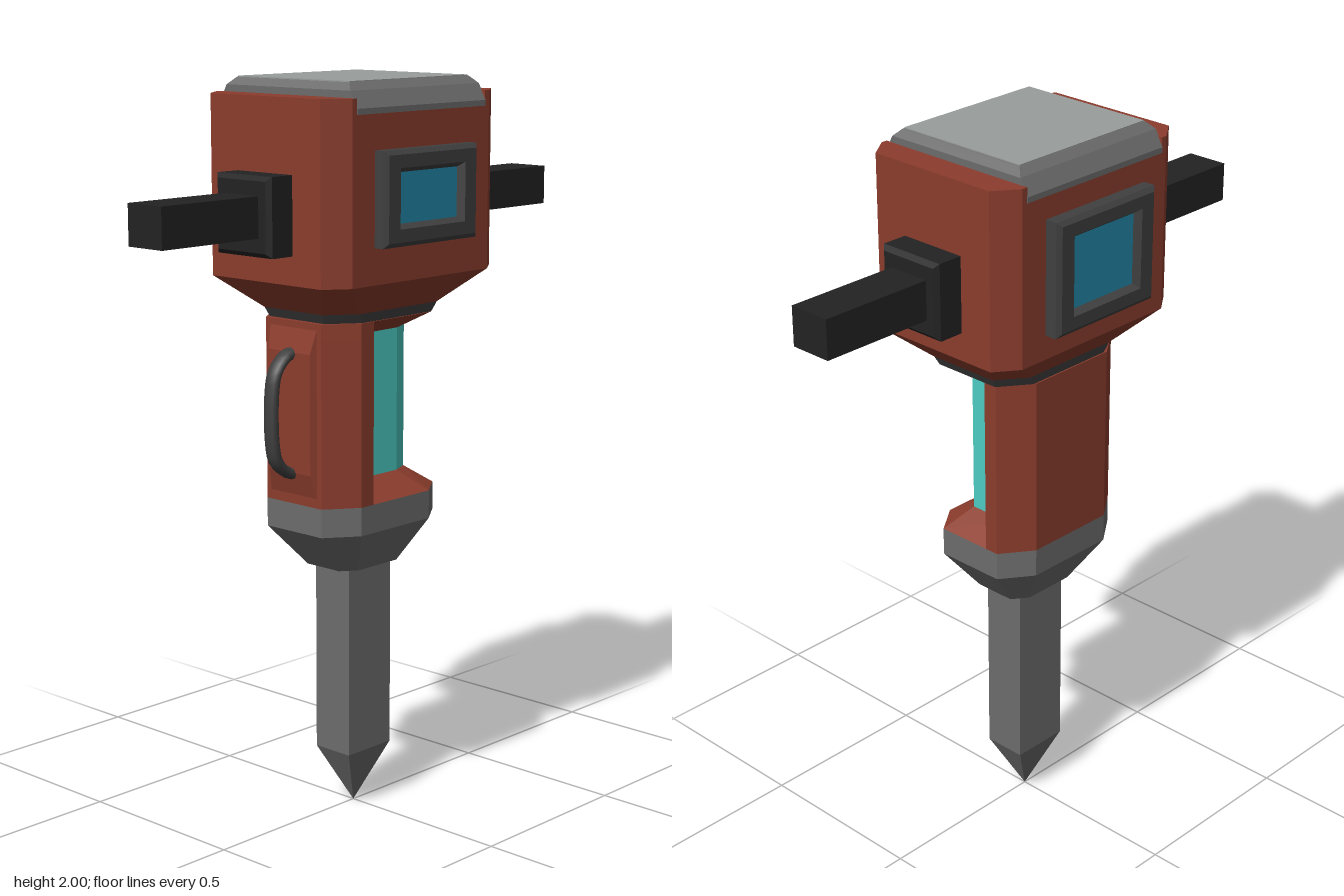
import * as THREE from 'three';

const mat = (name, color) => {
  const m = new THREE.MeshStandardMaterial({ color });
  m.name = name;
  return m;
};

// Chamfered rectangle outline, half sizes hx/hz, flats ending at cx/cz, shifted by ox
const oct = (hx, hz, cx, cz, ox = 0) => [
  [-cx, hz], [cx, hz], [hx, cz], [hx, -cz], [cx, -hz], [-cx, -hz], [-hx, -cz], [-hx, cz],
].map(([x, z]) => [x + ox, z]);
const rect = (hx, hz, ox = 0) => [[-hx, hz], [hx, hz], [hx, -hz], [-hx, -hz]].map(([x, z]) => [x + ox, z]);

// Flat-faced loft through outlines stacked in y; skip(row, side) leaves a face out
function loft(sections, { skip = () => false, closed = true } = {}) {
  const pos = [];
  const at = (s, i) => {
    const [y, pts] = sections[s];
    const p = pts[i % pts.length];
    return [p[0], y, p[1]];
  };
  const n = sections[0][1].length;
  for (let r = 0; r < sections.length - 1; r++) {
    for (let i = 0; i < (closed ? n : n - 1); i++) {
      if (skip(r, i)) continue;
      const a = at(r, i), b = at(r, i + 1), c = at(r + 1, i + 1), d = at(r + 1, i);
      pos.push(...a, ...b, ...c, ...a, ...c, ...d);
    }
  }
  if (closed) {
    const t = sections.length - 1;
    for (let i = 1; i < n - 1; i++) {
      pos.push(...at(t, 0), ...at(t, i), ...at(t, i + 1));
      pos.push(...at(0, 0), ...at(0, i + 1), ...at(0, i));
    }
  }
  const g = new THREE.BufferGeometry();
  g.setAttribute('position', new THREE.Float32BufferAttribute(pos, 3));
  g.computeVertexNormals();
  return g;
}

export function createModel() {
  const red = mat('red paint', 0x8c3d2d);
  const steel = mat('steel', 0x6d6d6d);
  const light = mat('light steel', 0x999d9c);
  const dark = mat('dark trim', 0x404040);
  const black = mat('black rubber', 0x232323);
  const blue = mat('screen blue', 0x2389a9);
  const cyan = mat('cyan window', 0x4ecdc4);
  cyan.side = THREE.DoubleSide;

  const model = new THREE.Group();
  model.name = 'jackhammer';
  const add = (name, geo, material, parent = model) => {
    const m = new THREE.Mesh(geo, material);
    m.name = name;
    parent.add(m);
    return m;
  };

  // Chisel bit with pointed tip
  add('chisel', loft([[0, rect(0, 0)], [0.165, rect(0.083, 0.061)], [0.72, rect(0.083, 0.061)]]), steel);

  // Lower collar
  const bodyOutline = oct(0.22, 0.162, 0.134, 0.1, -0.008);
  add('collar', loft([
    [0.695, oct(0.118, 0.09, 0.075, 0.058)],
    [0.815, bodyOutline],
    [0.892, bodyOutline],
  ]), steel);

  // Body with one corner cut away; points 1 to 4 slide inward to form the recess
  const notch = [[-0.095, 0.085], [0.08, 0.085], [0.135, 0.06], [0.135, -0.06]];
  const rim = [[-0.095, 0.162], [0.126, 0.162], [0.212, 0.1], [0.212, -0.06]];
  const outline = (corner) => [
    rim[0], ...corner, rim[3],
    [0.212, -0.1], [0.126, -0.162], [-0.142, -0.162], [-0.228, -0.1], [-0.228, 0.1], [-0.142, 0.162],
  ];
  add('body', loft(
    [[0.892, outline(rim)], [0.945, outline(notch)], [1.335, outline(notch)], [1.38, outline(rim)]],
    { skip: (r, i) => r === 1 && i >= 1 && i <= 3 },
  ), red);
  add('window', loft([[0.945, notch], [1.335, notch]], { closed: false }), cyan);

  // Carry handle and its raised mounting pad
  const pad = loft([[0, rect(0.23, 0.085)], [0.018, rect(0.16, 0.075)]]);
  pad.rotateZ(Math.PI / 2).translate(-0.226, 1.14, 0);
  add('handlePad', pad, red);
  const path = new THREE.CatmullRomCurve3([
    [-0.225, 1.3], [-0.262, 1.288], [-0.296, 1.252], [-0.308, 1.2],
    [-0.308, 1.07], [-0.296, 1.018], [-0.262, 0.985], [-0.225, 0.972],
  ].map(([x, y]) => new THREE.Vector3(x, y, 0)));
  const loop = new THREE.TubeGeometry(path, 24, 0.016, 8).scale(1, 1, 1.4);
  add('carryHandle', loop, dark);

  // Neck and motor head
  add('neck', loft([
    [1.38, oct(0.214, 0.158, 0.134, 0.1)],
    [1.405, oct(0.228, 0.162, 0.15, 0.105)],
  ]), dark);
  const headOutline = oct(0.327, 0.242, 0.262, 0.195);
  add('head', loft([
    [1.405, oct(0.228, 0.162, 0.15, 0.105)],
    [1.49, headOutline],
    [1.92, headOutline],
  ]), red);

  // Raised cheeks either side of the cap
  const cheek = [[0.245, 0.242], [0.262, 0.242], [0.327, 0.195], [0.327, -0.195], [0.262, -0.242], [0.245, -0.242]];
  const otherCheek = cheek.map(([x, z]) => [-x, -z]);
  for (const [name, pts] of [['leftCheek', cheek], ['rightCheek', otherCheek]]) {
    add(name, loft([[1.92, pts], [1.96, pts]]), red);
  }

  // Cap with bevelled edges and a lighter top plate
  add('cap', loft([
    [1.92, rect(0.246, 0.244)],
    [1.935, rect(0.246, 0.244)],
    [1.978, rect(0.246, 0.22)],
    [1.997, rect(0.228, 0.2)],
  ]), steel);
  add('capTop', new THREE.BoxGeometry(0.45, 0.004, 0.396).translate(0, 1.998, 0), light);

  // Display panels: a bevelled frame around a recessed screen
  const panel = (name, y, h, screenH, depth) => {
    const g = new THREE.Group();
    g.name = name;
    const ring = (z, hw, hh) => [[-hw, -hh, z], [hw, -hh, z], [hw, hh, z], [-hw, hh, z]];
    const rings = [
      ring(0, 0.18, h / 2), ring(depth - 0.01, 0.18, h / 2), ring(depth, 0.168, h / 2 - 0.012),
      ring(depth, 0.125, screenH / 2 + 0.012), ring(depth - 0.018, 0.112, screenH / 2),
    ];
    const pos = [];
    for (let r = 0; r < rings.length - 1; r++) {
      for (let i = 0; i < 4; i++) {
        const j = (i + 1) % 4;
        const a = rings[r][i], b = rings[r][j], c = rings[r + 1][j], d = rings[r + 1][i];
        pos.push(...a, ...b, ...c, ...a, ...c, ...d);
      }
    }
    const frame = new THREE.BufferGeometry();
    frame.setAttribute('position', new THREE.Float32BufferAttribute(pos, 3));
    frame.computeVertexNormals();
    add('frame', frame, dark, g);
    add('screen', new THREE.PlaneGeometry(0.224, screenH).translate(0, 0, depth - 0.018), blue, g);
    g.position.set(0, y, 0.242);
    model.add(g);
    return g;
  };
  panel('frontPanel', 1.707, 0.245, 0.13, 0.038);
  const back = panel('backPanel', 1.708, 0.305, 0.19, 0.044);
  back.rotation.y = Math.PI;
  back.position.z = -0.242;

  // Side grips
  for (const s of [1, -1]) {
    const grip = new THREE.Group();
    grip.name = s > 0 ? 'leftGrip' : 'rightGrip';
    const base = loft([
      [0.32, rect(0.102, 0.097)],
      [0.398, rect(0.102, 0.097)],
      [0.41, rect(0.09, 0.085)],
    ]).rotateZ(-s * Math.PI / 2);
    add('gripBase', base, black, grip);
    add('gripBar', new THREE.BoxGeometry(0.333, 0.106, 0.12).translate(s * 0.5665, 0, 0), black, grip);
    grip.position.y = 1.667;
    model.add(grip);
  }
  return model;
}
